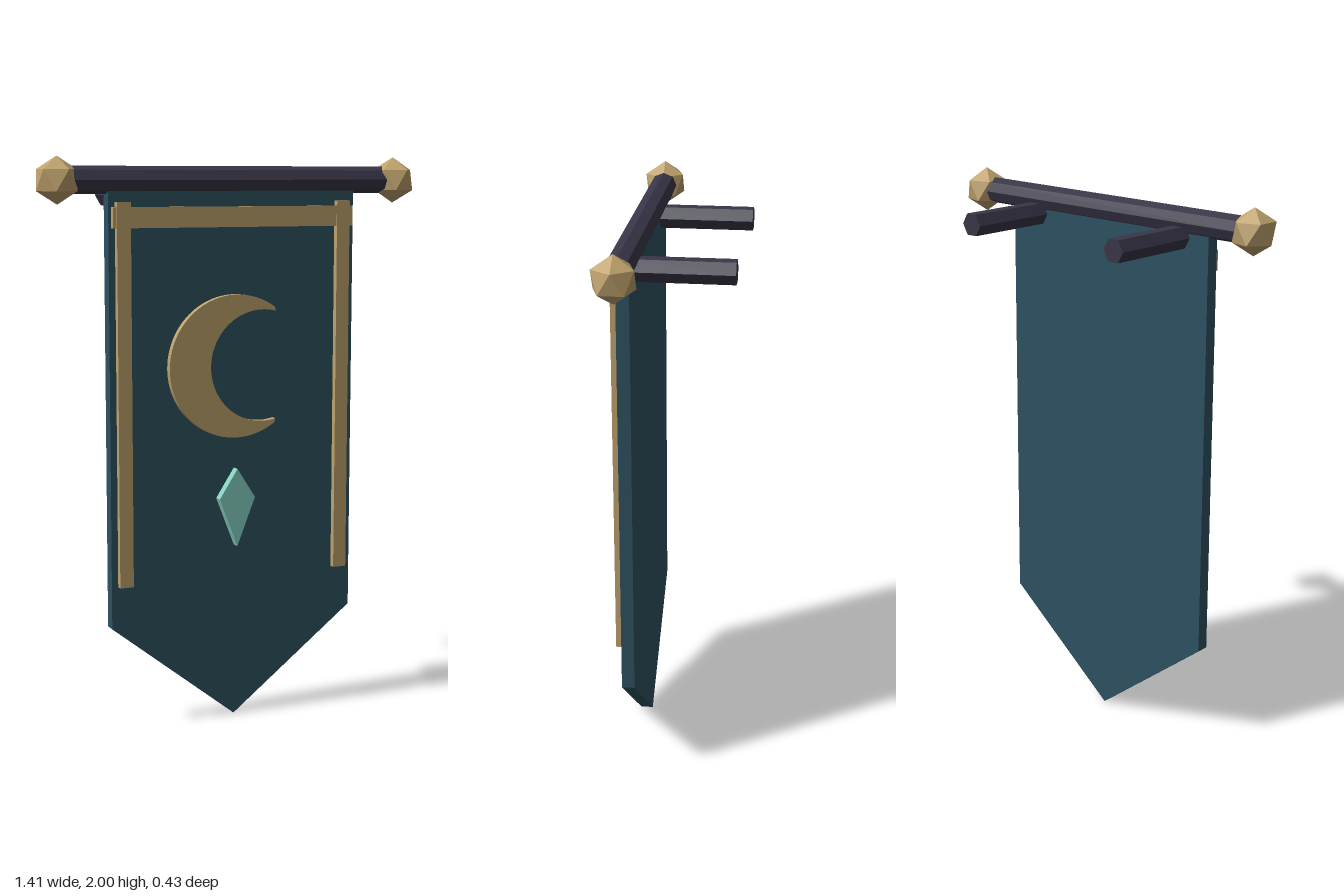
import * as THREE from 'three';

const mat = (name, color) => {
  const m = new THREE.MeshStandardMaterial({ color, flatShading: true });
  m.name = name;
  return m;
};

export function createModel() {
  const cloth = mat('teal cloth', 0x2e5161);
  const gold = mat('old gold', 0xbfa26d);
  const wood = mat('dark wood', 0x383647);
  const jade = mat('pale jade', 0x86d2c3);

  const group = new THREE.Group();
  const add = (name, geometry, material, x = 0, y = 0, z = 0) => {
    const mesh = new THREE.Mesh(geometry, material);
    mesh.name = name;
    mesh.position.set(x, y, z);
    group.add(mesh);
  };
  const plate = (shape, depth) =>
    new THREE.ExtrudeGeometry(shape, { depth, bevelEnabled: false, curveSegments: 32 });
  const polygon = (points) => new THREE.Shape(points.map(([x, y]) => new THREE.Vector2(x, y)));

  const axisZ = 0.144; // depth of the rod and the cloth hanging from it
  const clothFront = axisZ + 0.0225;

  // Hanging cloth with a pointed lower edge
  add('cloth', plate(polygon([
    [0, 0], [0.463, 0.363], [0.463, 1.89], [-0.463, 1.89], [-0.463, 0.363],
  ]), 0.045), cloth, 0, 0, axisZ - 0.0225);

  // Octagonal rod
  add('rod', new THREE.CylinderGeometry(0.047, 0.047, 1.27, 8).rotateZ(Math.PI / 2),
    wood, 0, 1.92, axisZ);

  // Icosahedral finials, turned so that one corner points straight up
  const tilt = Math.atan(2 / (1 + Math.sqrt(5)));
  const finial = new THREE.IcosahedronGeometry(0.081, 0).rotateZ(-tilt);

  // Hexagonal wall bracket, with flat faces above and below
  const bracket = new THREE.CylinderGeometry(0.0436, 0.0436, 0.344, 6)
    .rotateY(Math.PI / 2).rotateX(Math.PI / 2);

  for (const [side, s] of [['left', 1], ['right', -1]]) {
    add(side + 'Finial', finial, gold, s * 0.635, 1.919, axisZ);
    add(side + 'Bracket', bracket, wood, s * 0.3375, 1.867, -0.042);
    add(side + 'Trim', new THREE.BoxGeometry(0.05, 1.333, 0.022), gold,
      s * 0.4145, 1.1795, clothFront + 0.011);
  }
  add('topTrim', new THREE.BoxGeometry(0.906, 0.071, 0.02), gold, 0, 1.7935, clothFront + 0.009);

  // Crescent: long outer arc, then back along the offset inner arc
  const outer = THREE.MathUtils.degToRad(54.5);
  const inner = THREE.MathUtils.degToRad(75.4);
  const crescent = new THREE.Shape();
  crescent.absarc(0, 0, 0.2525, outer, 2 * Math.PI - outer, false);
  crescent.absarc(0.1, 0, 0.198, 2 * Math.PI - inner, inner, true);
  crescent.closePath();
  add('crescent', plate(crescent, 0.0255), gold, 0, 1.272, clothFront);

  // Kite-shaped gem
  add('gem', plate(polygon([
    [0, 0.628], [0.068, 0.802], [0, 0.908], [-0.068, 0.802],
  ]), 0.0335), jade, 0, 0, clothFront);

  return group;
}
